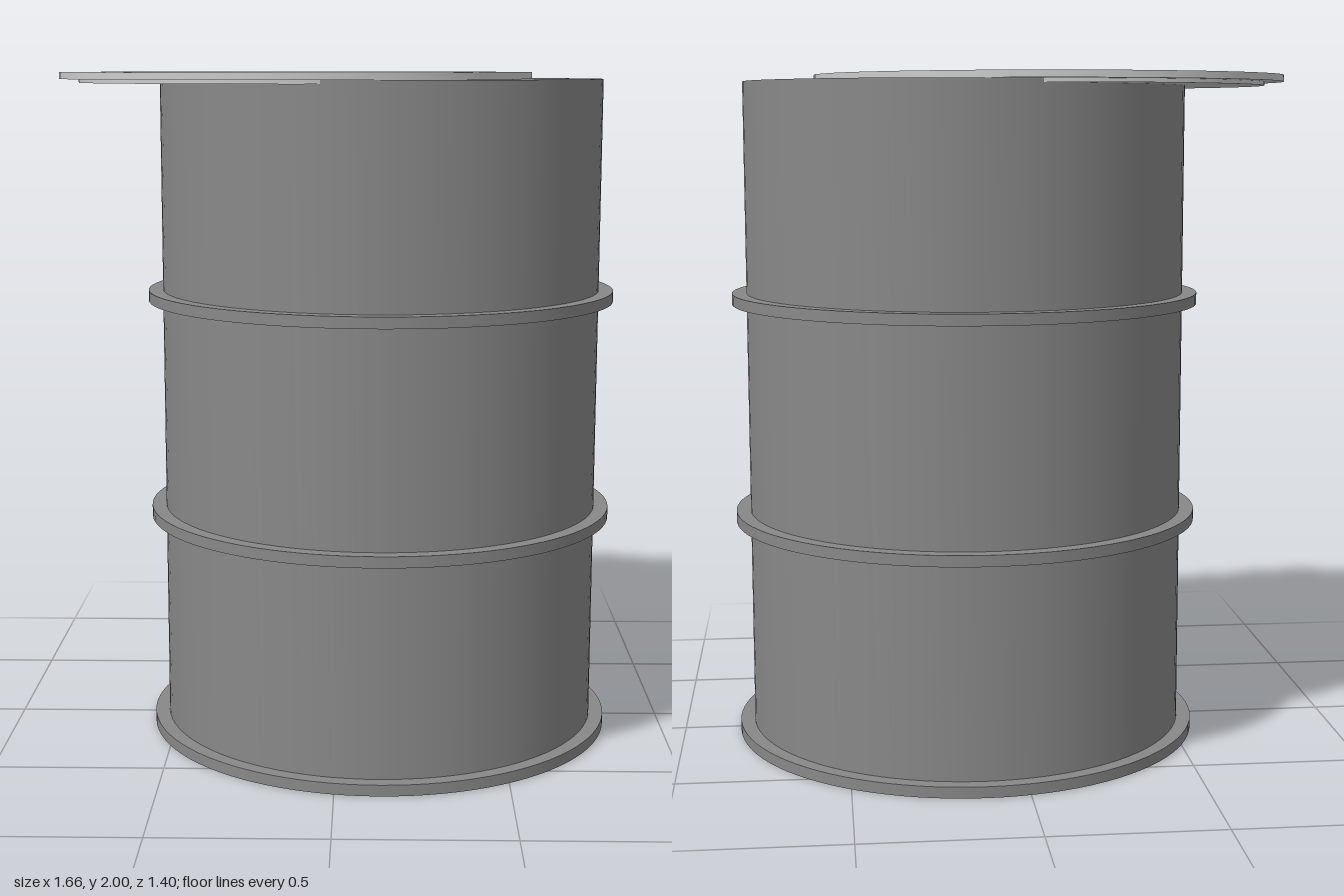
import * as THREE from 'three';
import { toCreasedNormals } from 'three/addons/utils/BufferGeometryUtils.js';

const SEGMENTS = 96;
const OFFSET = 0.127; // barrel and lid are shifted to opposite sides

// Revolved part with sharp profile corners; profile is [radius, y] pairs.
function revolve(name, profile, material) {
  const points = profile.map(([r, y]) => new THREE.Vector2(r, y));
  const geometry = toCreasedNormals(new THREE.LatheGeometry(points, SEGMENTS), 0.6);
  const mesh = new THREE.Mesh(geometry, material);
  mesh.name = name;
  return mesh;
}

export function createModel() {
  const model = new THREE.Group();
  model.name = 'openBarrel';
  const darkGrey = new THREE.MeshStandardMaterial({ color: 0x888888 });
  const lightGrey = new THREE.MeshStandardMaterial({ color: 0xcccccc });

  const barrel = new THREE.Group();
  barrel.name = 'barrel';
  barrel.position.x = OFFSET;
  model.add(barrel);

  // Hollow drum: floor underside, outer wall, rim, inner wall, floor
  barrel.add(revolve('drumShell', [
    [0, 0], [0.659, 0], [0.659, 1.98], [0.649, 1.98], [0.649, 0.02], [0, 0.02],
  ], darkGrey));

  // Flat hoops around the wall
  [['baseHoop', 0], ['lowerHoop', 0.66], ['upperHoop', 1.322]].forEach(([name, y]) => {
    const top = y + 0.033;
    barrel.add(revolve(name, [
      [0.655, y], [0.702, y], [0.702, top], [0.655, top],
    ], darkGrey));
  });

  // Lid slid to one side: raised flat rim around a thin sunken plate
  const lid = revolve('lid', [
    [0, 1.969], [0.645, 1.969], [0.645, 1.98], [0.702, 1.98], [0.702, 2],
    [0.642, 2], [0.635, 1.976], [0, 1.976],
  ], lightGrey);
  lid.position.x = -OFFSET;
  model.add(lid);

  return model;
}
